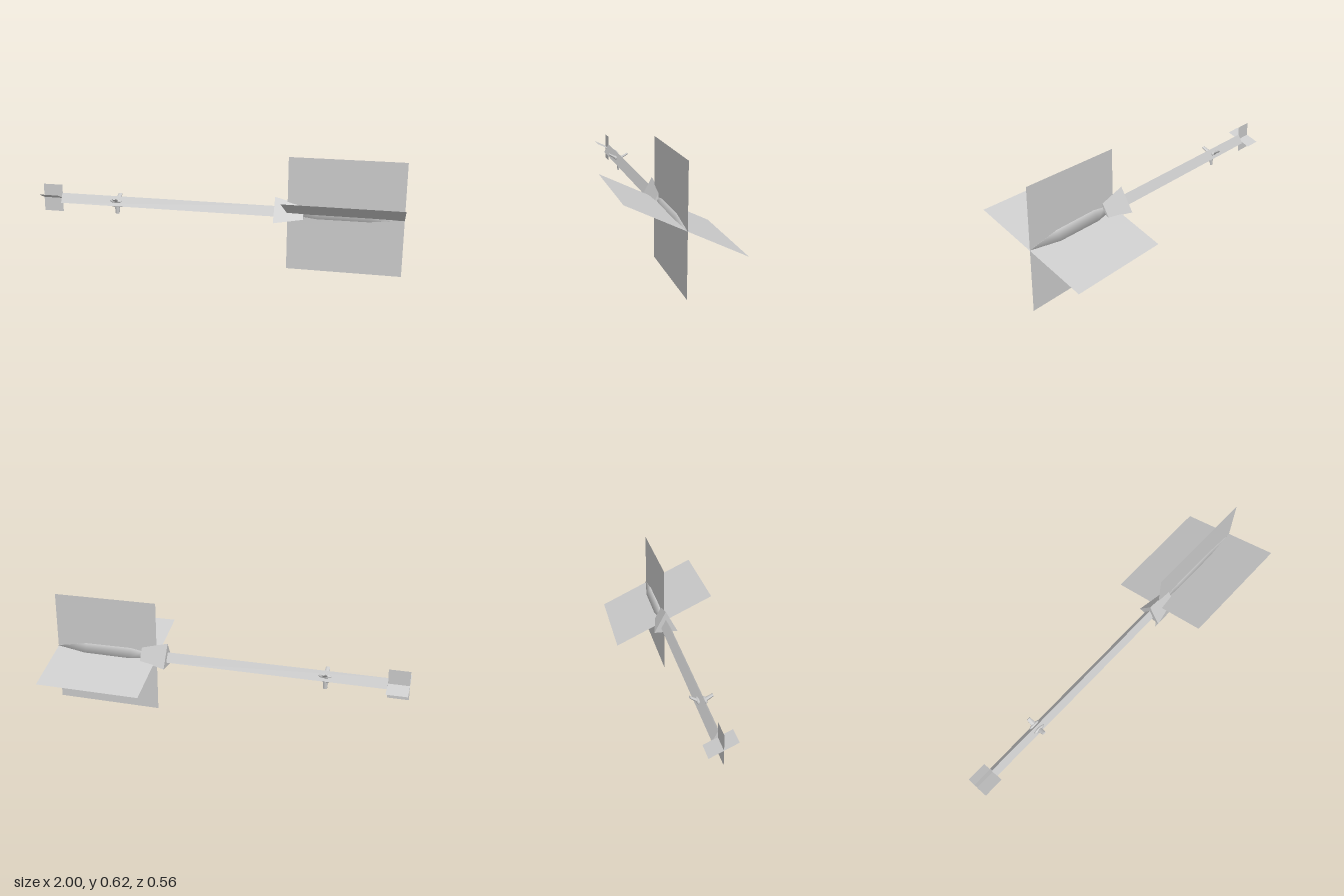
import * as THREE from 'three';

const AXIS_Y = 0.314, AXIS_Z = -0.003;

export function createModel() {
  const model = new THREE.Group();
  const grey = new THREE.MeshStandardMaterial({ color: 0xcccccc, side: THREE.DoubleSide });
  grey.name = 'hullGrey';

  const add = (name, geometry, parent = model) => {
    const mesh = new THREE.Mesh(geometry, grey);
    mesh.name = name;
    parent.add(mesh);
    return mesh;
  };

  // Three-sided body along x, one corner up; profile is a list of [x, radius]
  const alongX = new THREE.Matrix4().makeBasis(
    new THREE.Vector3(0, 0, 1), new THREE.Vector3(1, 0, 0), new THREE.Vector3(0, 1, 0));
  function triBody(name, profile, smooth) {
    let g = new THREE.LatheGeometry(profile.map(([x, r]) => new THREE.Vector2(r, x)), 3);
    g.scale(0.93, 1, 1);
    g.applyMatrix4(alongX);
    if (!smooth) {
      g = g.toNonIndexed();
      g.computeVertexNormals();
    }
    add(name, g).position.set(0, AXIS_Y, AXIS_Z);
  }
  triBody('mainBoom', [[-0.89, 0], [-0.89, 0.034], [0.33, 0.034]], false);
  triBody('flare', [[0.32, 0], [0.32, 0.0845], [0.475, 0.045], [0.475, 0]], false);
  triBody('nose', [[0.47, 0.022], [0.545, 0.034], [0.82, 0.032], [1, 0.001]], true);

  // Crossed thin panels: one upright, one tilted up toward the front
  function crossedPanels(name, x0, x1, radius, y, z) {
    const group = new THREE.Group();
    group.name = name;
    group.position.set((x0 + x1) / 2, y, z);
    for (const [part, tilt] of [['uprightPanel', 0], ['tiltedPanel', 1.129]]) {
      add(part, new THREE.PlaneGeometry(x1 - x0, radius * 2), group).rotation.x = tilt;
    }
    model.add(group);
  }
  crossedPanels('largePanels', 0.388, 1, 0.31, 0.31, 0);
  crossedPanels('tailPanels', -1, -0.888, 0.0775, 0.3175, AXIS_Z);

  // Three small pods on short arms, one on each face of the boom
  for (let i = 0; i < 3; i++) {
    const pod = new THREE.Group();
    pod.name = 'boomPod';
    pod.position.set(-0.566, AXIS_Y, AXIS_Z);
    pod.rotation.x = Math.PI + i * Math.PI * 2 / 3;
    const arm = new THREE.CylinderGeometry(0.012, 0.017, 0.052, 6);
    arm.scale(1, 1, 0.45);
    add('podArm', arm, pod).position.y = 0.041;
    const spindle = new THREE.SphereGeometry(1, 8, 6);
    spindle.scale(0.036, 0.009, 0.011);
    add('podSpindle', spindle, pod).position.y = 0.021;
    model.add(pod);
  }

  return model;
}
